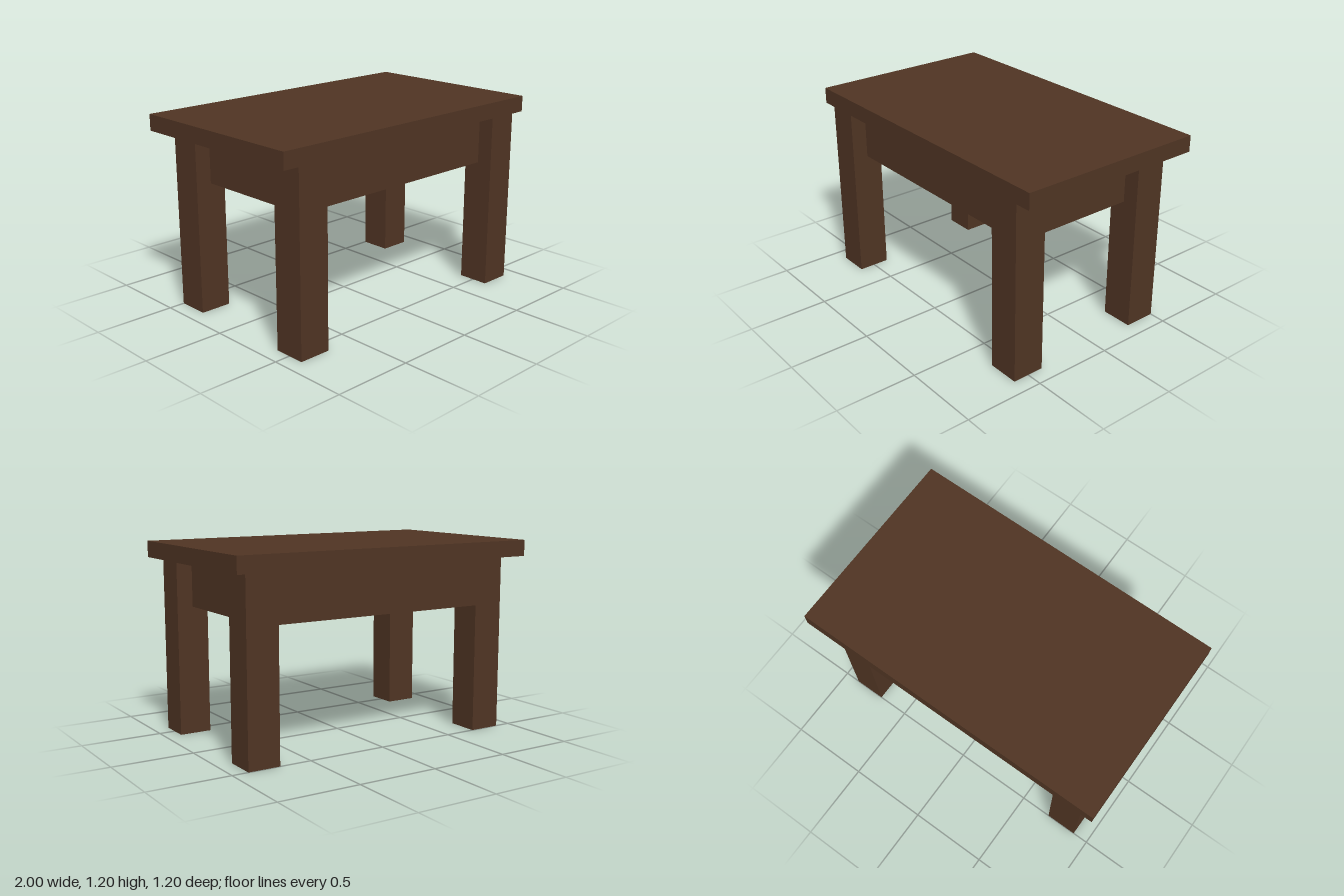
import * as THREE from 'three';

export function createModel() {
  const model = new THREE.Group();
  model.name = 'table';
  const wood = new THREE.MeshStandardMaterial({ color: 0x4f3423 });
  wood.name = 'dark wood';

  // Box given by its extents along each axis
  const addBox = (name, [x0, x1], [y0, y1], [z0, z1]) => {
    const mesh = new THREE.Mesh(new THREE.BoxGeometry(x1 - x0, y1 - y0, z1 - z0), wood);
    mesh.position.set((x0 + x1) / 2, (y0 + y1) / 2, (z0 + z1) / 2);
    mesh.name = name;
    model.add(mesh);
  };

  const under = 1.1; // underside of the top
  const apron = [0.8, under];

  addBox('tableTop', [-1, 1], [under, 1.2], [-0.6, 0.6]);

  // Legs and side aprons, mirrored left and right
  for (const [side, s] of [['left', 1], ['right', -1]]) {
    const span = (a, b) => (s > 0 ? [a, b] : [-b, -a]);
    addBox(`${side}FrontLeg`, span(0.7, 0.9), [0, under], [0.4, 0.6]);
    addBox(`${side}BackLeg`, span(0.7, 0.9), [0, under], [-0.5, -0.3]);
    addBox(`${side}Apron`, span(0.7, 0.8), apron, [-0.3, 0.4]);
  }

  // Front apron is recessed, back apron is flush with the legs
  addBox('frontApron', [-0.7, 0.7], apron, [0.4, 0.5]);
  addBox('backApron', [-0.7, 0.7], apron, [-0.5, -0.4]);

  return model;
}
